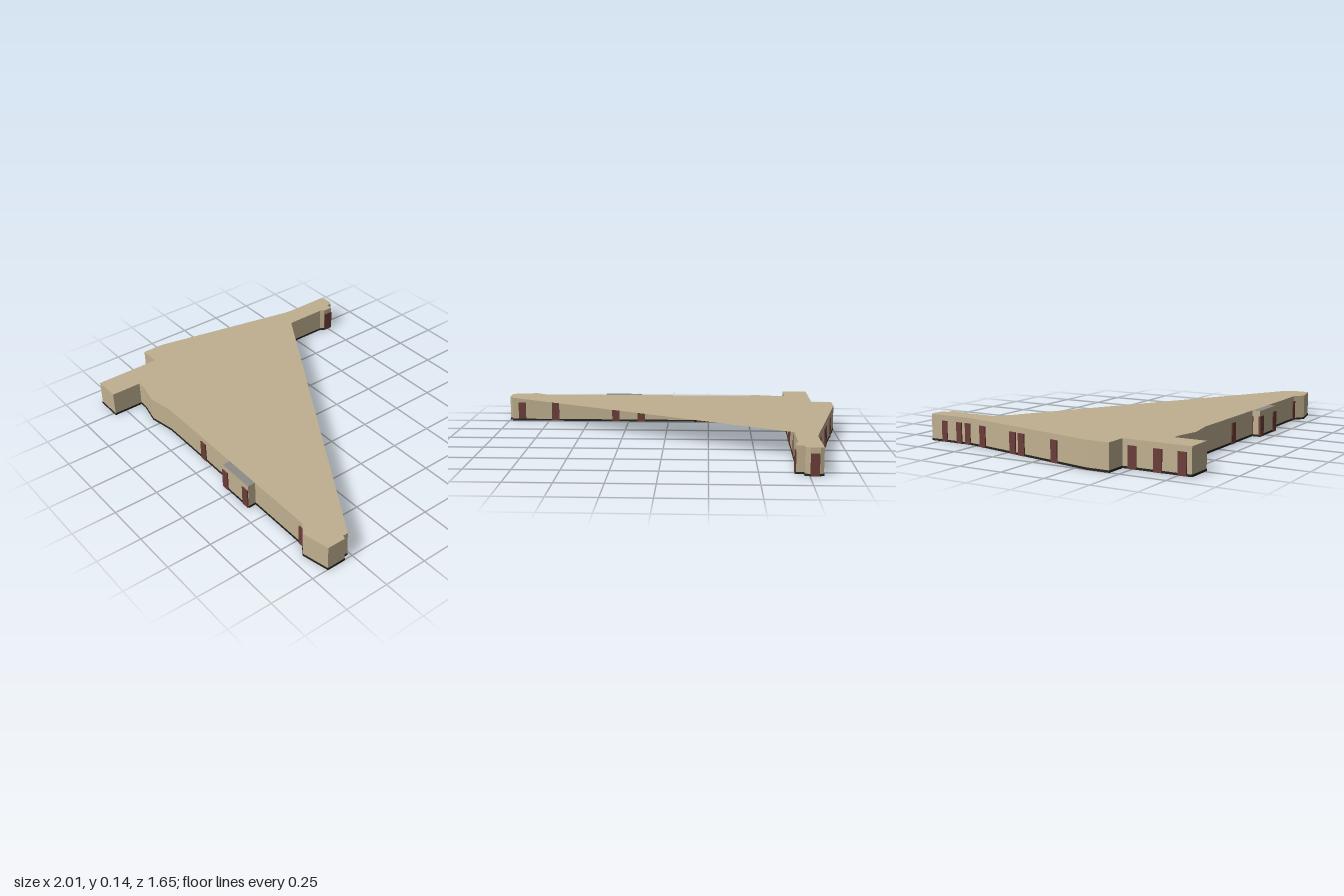
import * as THREE from 'three';

const H = 0.145, DOOR_H = 0.115;

// Roof outline as [x, z], from the left tip round the front, the right side and the back arm
const outline = [
  [0.98, 0.515], [0.98, 0.545], [1, 0.55], [1, 0.655], [0.85, 0.688], [0.79, 0.645],
  [-0.4, 0.645], [-0.555, 0.672], [-0.68, 0.645], [-0.73, 0.645], [-0.73, 0.82], [-0.88, 0.82],
  [-0.88, 0.445], [-1, 0.445], [-1, 0.32], [-0.825, -0.5], [-0.815, -0.56], [-0.82, -0.81],
  [-0.8, -0.82], [-0.75, -0.82], [-0.725, -0.81], [-0.725, -0.78], [-0.685, -0.78],
  [-0.685, -0.72], [-0.7, -0.7], [-0.7, -0.46],
];
// The walls follow the two wings; the long diagonal side stays open
const innerCorner = [-0.72, 0.52];
const wallLoop = [...outline, innerCorner];

const mat = (color) => new THREE.MeshStandardMaterial({ color, side: THREE.DoubleSide, flatShading: true });

export function createModel() {
  const model = new THREE.Group();
  const tan = mat(0xc0b090), maroon = mat(0x6b3d39), dark = mat(0x25221f), grey = mat(0x8e8c88);

  const add = (parent, geometry, material, name) => {
    const mesh = new THREE.Mesh(geometry, material);
    mesh.name = name;
    parent.add(mesh);
    return mesh;
  };
  const group = (name) => {
    const g = new THREE.Group();
    g.name = name;
    model.add(g);
    return g;
  };
  const walls = group('walls'), base = group('baseTrim'), doors = group('doors');

  // One straight wall with its dark trim at the ground
  const addWall = ([x0, z0], [x1, z1]) => {
    const len = Math.hypot(x1 - x0, z1 - z0);
    const turn = -Math.atan2(z1 - z0, x1 - x0);
    const wall = add(walls, new THREE.PlaneGeometry(len, H), tan, 'wall');
    const trim = add(base, new THREE.BoxGeometry(len, 0.011, 0.005), dark, 'trim');
    wall.position.set((x0 + x1) / 2, H / 2, (z0 + z1) / 2);
    trim.position.set((x0 + x1) / 2, 0.0055, (z0 + z1) / 2);
    wall.rotation.y = trim.rotation.y = turn;
  };
  wallLoop.forEach((p, i) => addWall(p, wallLoop[(i + 1) % wallLoop.length]));

  // A door shows on both sides of its wall
  const addDoor = (x, z, turn = 0, width = 0.046) => {
    const door = add(doors, new THREE.BoxGeometry(width, DOOR_H, 0.012), maroon, 'door');
    door.position.set(x, DOOR_H / 2, z);
    door.rotation.y = turn;
  };
  const side = Math.PI / 2;

  // Front wall and entrance
  [-0.07, 0.79].forEach((x) => addDoor(x, 0.645));
  [0.2, 0.377].forEach((x) => { addDoor(x, 0.69); addDoor(x, 0.645); });
  // Inner side of the front wing
  [0.92, 0.71, 0.33, 0.17, -0.2, -0.31, -0.44].forEach((x) => addDoor(x, 0.519));
  // Inner side of the right wing
  [0.38, 0.265, -0.035, -0.115, -0.4].forEach((z) => addDoor(-0.71 - 0.01 * z, z, side));
  // Outer side of the front stub and the back arm
  [0.5, 0.64, 0.77].forEach((z) => addDoor(-0.88, z, side));
  [-0.72, -0.62, -0.56].forEach((z) => addDoor(-0.817, z, side, 0.035));
  addDoor(-0.685, -0.75, side, 0.055);
  addDoor(-0.775, -0.82, 0, 0.046);
  // Slanted right wall
  const slant = -Math.atan2(0.82, -0.175);
  [0.07, 0.36, 0.44, 0.73].forEach((t) => addDoor(-0.825 - 0.175 * t, -0.5 + 0.82 * t, slant));

  // Flat roof over both wings and the covered triangle between them
  const shape = new THREE.Shape(outline.map(([x, z]) => new THREE.Vector2(x, -z)));
  const roof = add(model, new THREE.ShapeGeometry(shape), tan, 'roof');
  roof.rotation.x = -Math.PI / 2;
  roof.position.y = H;

  // Shallow entrance bay with a grey roof
  addWall([0.178, 0.645], [0.178, 0.69]);
  addWall([0.178, 0.69], [0.402, 0.69]);
  addWall([0.402, 0.69], [0.402, 0.645]);
  const bayRoof = add(model, new THREE.PlaneGeometry(0.224, 0.045), grey, 'entranceRoof');
  bayRoof.rotation.x = -Math.PI / 2;
  bayRoof.position.set(0.29, H, 0.6675);

  return model;
}
